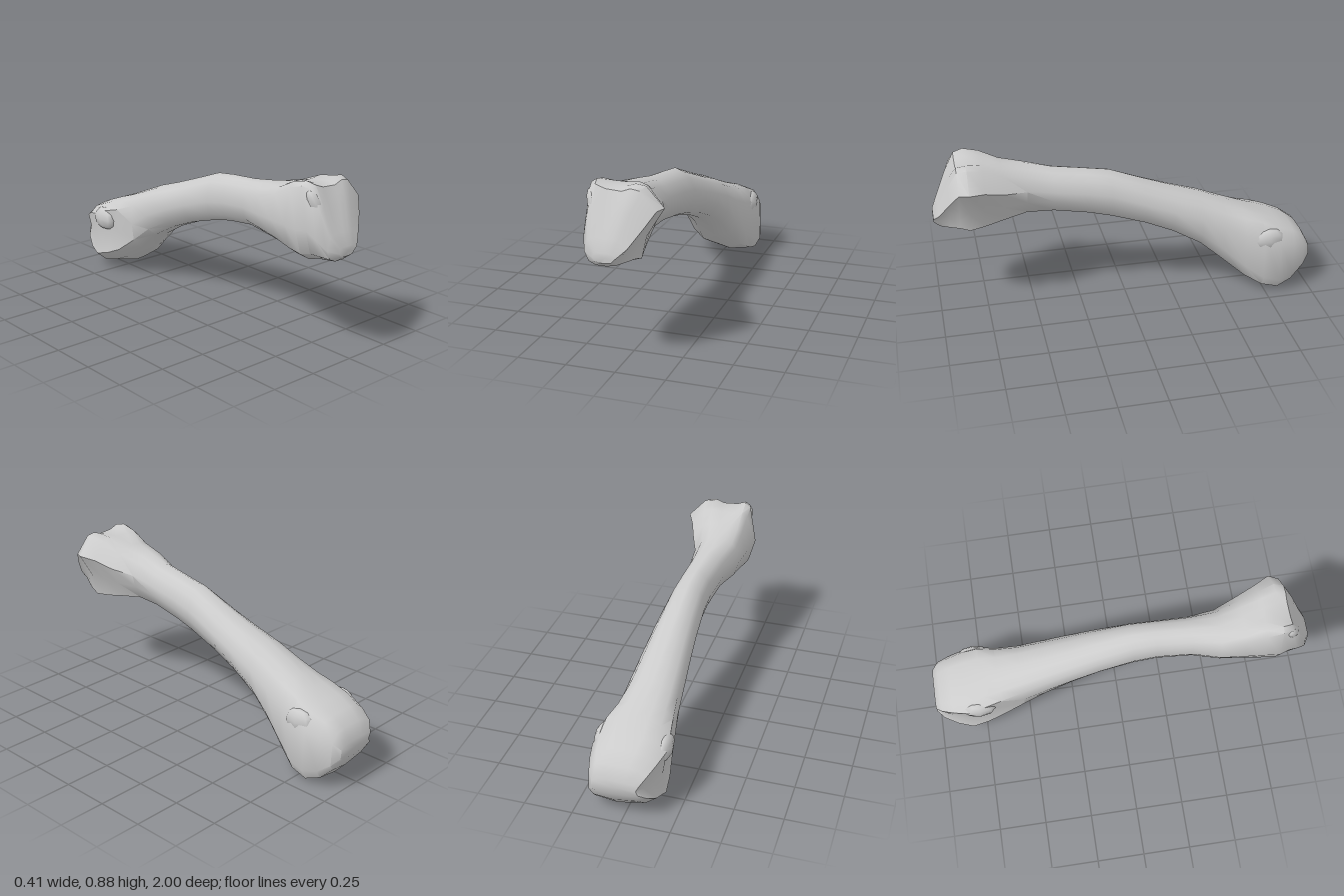
import * as THREE from 'three';
import { toCreasedNormals } from 'three/addons/utils/BufferGeometryUtils.js';

// Unit outlines (x, y in -1..1), counter-clockwise from the +x side
const HEAD = [[1, .43], [.55, .92], [.3, .96], [.05, .87], [-.4, .9], [-.67, 1], [-.82, .9],
  [-1, -.15], [-.82, -.8], [-.5, -1], [0, -1], [.42, -.87], [.55, -.3]];
const SHAFT = [[1, .15], [.72, .62], [.4, .86], [-.1, 1], [-.4, .9], [-.7, .7], [-.88, .45],
  [-1, -.1], [-.8, -.65], [-.4, -.95], [.1, -1], [.6, -.85], [.95, -.3]];
const CONDYLE = [[.96, .5], [.74, .9], [.4, 1], [0, 1], [-.35, 1], [-.7, .92], [-.95, .7],
  [-.84, 0], [-.93, -.55], [-.6, -.82], [.2, -1], [.85, -.9], [1, -.62]];

// Sections from the front: z, x min, x max, y min, y max, shape (0 head, 1 shaft, 2 condyle)
const SECTIONS = [
  [1, -.1, .02, .535, .585, .4],
  [.97, -.15, .06, .51, .65, .3],
  [.92, -.175, .12, .505, .77, .1],
  [.87, -.19, .165, .5, .865, 0],
  [.82, -.207, .187, .485, .877, 0],
  [.74, -.2, .15, .492, .868, .2],
  [.64, -.19, .115, .515, .83, .5],
  [.52, -.18, .07, .535, .805, .8],
  [.38, -.135, .062, .535, .775, 1],
  [.2, -.112, .075, .508, .755, 1],
  [.08, -.11, .087, .48, .738, 1],
  [-.1, -.117, .105, .425, .67, 1],
  [-.25, -.13, .118, .362, .615, 1.1],
  [-.4, -.145, .13, .275, .565, 1.25],
  [-.52, -.155, .145, .17, .515, 1.45],
  [-.64, -.167, .17, .068, .465, 1.75],
  [-.73, -.18, .2, .022, .43, 2],
  [-.82, -.19, .207, 0, .395, 2],
  [-.9, -.165, .19, .035, .362, 2],
  [-.965, -.135, .17, .105, .315, 2],
  [-1, -.1, .14, .17, .25, 2],
];

// Blended outline placed in the section's bounds
function ring([z, x0, x1, y0, y1, shape]) {
  const [a, b] = shape < 1 ? [HEAD, SHAFT] : [SHAFT, CONDYLE];
  const t = shape < 1 ? shape : shape - 1;
  return a.map(([u, v], i) => {
    const px = THREE.MathUtils.lerp(u, b[i][0], t), py = THREE.MathUtils.lerp(v, b[i][1], t);
    return [(x0 + x1) / 2 + px * (x1 - x0) / 2, (y0 + y1) / 2 + py * (y1 - y0) / 2, z];
  });
}

function loft(sections) {
  const n = HEAD.length, last = (sections.length - 1) * n;
  const pos = sections.flatMap(ring);
  const index = [];
  for (let s = 0; s < sections.length - 1; s++) {
    for (let j = 0; j < n; j++) {
      const a = s * n + j, b = s * n + (j + 1) % n;
      index.push(a, a + n, b, b, a + n, b + n);
    }
  }
  // End caps fan around a centre point
  for (const [k, front] of [[0, true], [last, false]]) {
    const [z, x0, x1, y0, y1] = sections[front ? 0 : sections.length - 1];
    const c = pos.push([(x0 + x1) / 2, (y0 + y1) / 2, z]) - 1;
    for (let j = 0; j < n; j++) {
      const a = k + j, b = k + (j + 1) % n;
      index.push(c, front ? a : b, front ? b : a);
    }
  }
  const g = new THREE.BufferGeometry();
  g.setAttribute('position', new THREE.Float32BufferAttribute(pos.flat(), 3));
  g.setIndex(index);
  return toCreasedNormals(g, 0.8);
}

export function createModel() {
  const group = new THREE.Group();
  group.name = 'longBone';
  const material = new THREE.MeshStandardMaterial({ color: 0xcccccc });
  const add = (name, geometry) => {
    const mesh = new THREE.Mesh(geometry, material);
    mesh.name = name;
    group.add(mesh);
    return mesh;
  };

  add('boneBody', loft(SECTIONS));

  // Low knobs on both sides of the lower joint
  for (const side of [-1, 1]) {
    const knob = add(side > 0 ? 'leftKnob' : 'rightKnob', new THREE.SphereGeometry(1, 8, 6));
    knob.scale.set(.04, .065, .09);
    knob.position.set(side * .157 + .004, .315, -.76);
  }

  // Small raised lip beside the groove of the upper joint
  const lip = add('upperLip', new THREE.SphereGeometry(1, 8, 6));
  lip.scale.set(.03, .07, .035);
  lip.rotation.set(-.35, 0, .3);
  lip.position.set(-.14, .78, .875);
  return group;
}
